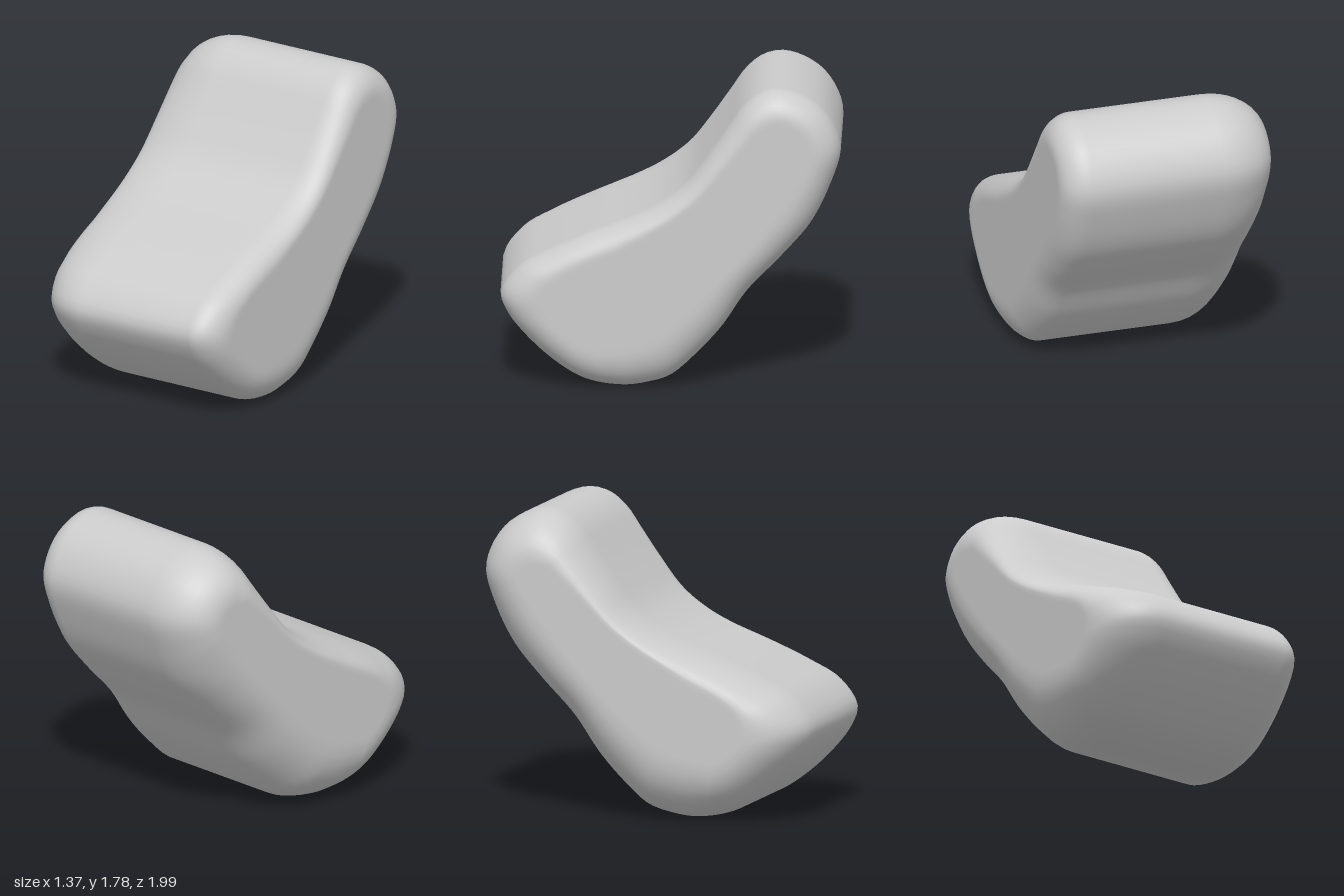
import * as THREE from 'three';

const curve = (pts, closed) =>
  new THREE.CatmullRomCurve3(pts.map(([z, y]) => new THREE.Vector3(0, y, z)), closed, 'centripetal');

// Side outline (z, y): front tip, over the seat and backrest, down the back, along the base
const OUTLINE = [
  [0.99, 0.56], [0.88, 0.72], [0.7, 0.82], [0.45, 0.93], [0.22, 1.02], [0.08, 1.09],
  [-0.08, 1.21], [-0.22, 1.39], [-0.33, 1.55], [-0.42, 1.68], [-0.52, 1.76], [-0.63, 1.785],
  [-0.74, 1.76], [-0.87, 1.68], [-0.955, 1.56], [-0.99, 1.42], [-0.925, 1.2], [-0.815, 0.98],
  [-0.645, 0.78], [-0.445, 0.57], [-0.295, 0.35], [-0.14, 0.18], [0, 0.06], [0.12, 0.02],
  [0.28, 0], [0.5, 0.04], [0.68, 0.15], [0.86, 0.32], [0.95, 0.44],
];
// Centre line of the side outline; the rounded ends shrink towards it
const SPINE = [[0.5, 0.48], [0.2, 0.56], [-0.2, 0.88], [-0.62, 1.4]];

const HALF_WIDTH = 0.66;
const STEPS = 10;
const N = 120;
const SEAT_END = 0.35 * N; // outline points before this form the seat and the front of the backrest

// Rounded end as rings from the body outwards: x, and the share of the way to the
// centre line for the outer edges (edge) and for the seat surface (seat)
function roundedEnd(side, depth, edge, seat) {
  const rings = [];
  for (let i = 0; i <= STEPS; i++) {
    const a = (i / STEPS) * Math.PI / 2;
    const round = 1 - Math.cos(a);
    rings.push({
      x: side * (HALF_WIDTH - depth * (1 - Math.sin(a))), edge: edge * round, seat: seat * round,
    });
  }
  rings.push({ x: side * HALF_WIDTH, edge: edge + 0.06, seat: seat + 0.06 });
  return rings;
}

function cushionGeometry() {
  const outline = curve(OUTLINE, true).getSpacedPoints(N).slice(0, N);
  const spine = curve(SPINE, false).getSpacedPoints(300);
  const feet = outline.map((p) =>
    spine.reduce((best, s) => (s.distanceToSquared(p) < best.distanceToSquared(p) ? s : best)));

  // The right end is much softer than the left, and the body is slightly skewed
  const rings = [
    ...roundedEnd(-1, 0.36, 0.7, 0.27).reverse(),
    { x: -0.1, edge: 0, seat: 0 },
    { x: 0.2, edge: 0, seat: 0 },
    ...roundedEnd(1, 0.17, 0.44, 0.3),
  ].map(({ x, edge, seat }) => outline.map((p, i) => {
    const w = i < SEAT_END ? Math.sin(Math.PI * i / SEAT_END) : 0;
    const v = p.clone().lerp(feet[i], THREE.MathUtils.lerp(edge, seat, w));
    return v.set(x + 0.03 * v.z, v.y, v.z - 0.015 * x);
  }));

  // Skin between neighbouring rings
  const index = [];
  for (let j = 0; j < rings.length - 1; j++) {
    for (let i = 0; i < N; i++) {
      const a = j * N + i;
      const b = j * N + ((i + 1) % N);
      index.push(a, a + N, b + N, a, b + N, b);
    }
  }

  // Flat sides
  const last = rings.length - 1;
  const capFaces = (j) =>
    THREE.ShapeUtils.triangulateShape(rings[j].map((v) => new THREE.Vector2(-v.z, v.y)), []);
  capFaces(0).forEach(([a, b, c]) => index.push(a, c, b));
  capFaces(last).forEach((face) => index.push(...face.map((k) => last * N + k)));

  const geometry = new THREE.BufferGeometry().setFromPoints(rings.flat());
  geometry.setIndex(index);
  geometry.computeVertexNormals();
  return geometry;
}

export function createModel() {
  const group = new THREE.Group();
  group.name = 'softChair';
  const material = new THREE.MeshStandardMaterial({ color: 0xcccccc });
  const cushion = new THREE.Mesh(cushionGeometry(), material);
  cushion.name = 'cushionBody';
  group.add(cushion);
  return group;
}
